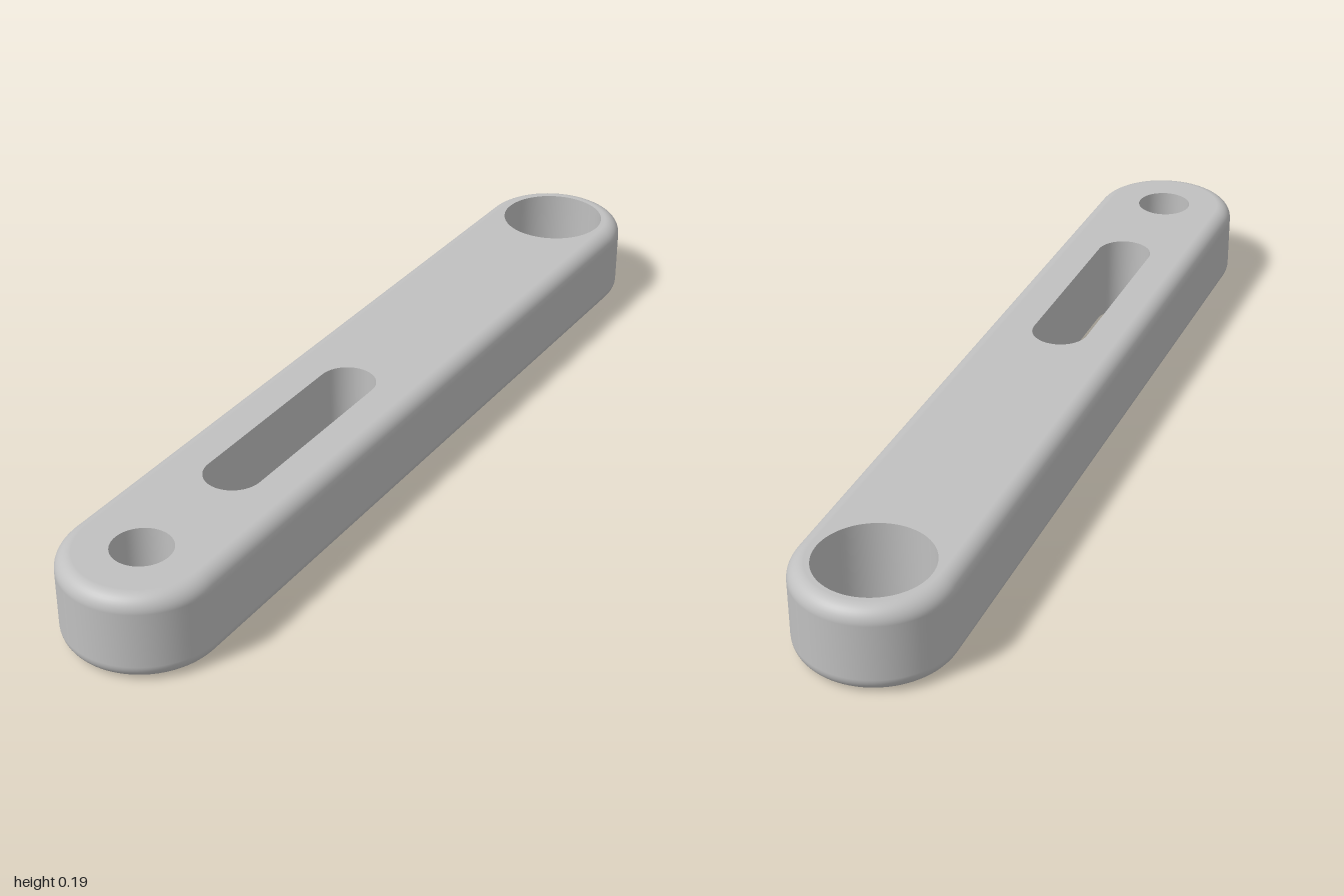
import * as THREE from 'three';

const HEIGHT = 0.19, RADIUS = 0.167, END = 0.833, FILLET = 0.034;
const ARC = 40; // segments per half circle

// Openings: radius and the z of the two arc centres
const openings = [
  { name: 'largeBore', r: 0.12, z0: -0.838, z1: -0.838 },
  { name: 'slot', r: 0.063, z0: 0.113, z1: 0.532 },
  { name: 'smallBore', r: 0.063, z0: 0.832, z1: 0.832 },
];

// Angles and arc centres around a rounded-end outline
function outline(z0, z1) {
  const list = [];
  for (const [z, start] of [[z1, 0], [z0, Math.PI]]) {
    for (let i = 0; i <= ARC; i++) list.push({ a: start + (Math.PI * i) / ARC, z });
  }
  return list;
}

// Wall swept around the outline; rows hold radius, height and profile normal
function wall(rows, z0, z1) {
  const ring = outline(z0, z1), n = ring.length;
  const pos = [], nor = [], idx = [];
  rows.forEach(({ r, y, nr, ny }, j) => {
    ring.forEach(({ a, z }, i) => {
      const c = Math.cos(a), s = Math.sin(a);
      pos.push(r * c, y, z + r * s);
      nor.push(nr * c, ny, nr * s);
      if (j < rows.length - 1) {
        const p = j * n + i, q = j * n + ((i + 1) % n);
        idx.push(p, p + n, q, q, p + n, q + n);
      }
    });
  });
  const g = new THREE.BufferGeometry();
  g.setAttribute('position', new THREE.Float32BufferAttribute(pos, 3));
  g.setAttribute('normal', new THREE.Float32BufferAttribute(nor, 3));
  g.setIndex(idx);
  return g;
}

// Flat face with the openings cut out; side is 1 for top, -1 for bottom
function face(side) {
  const points = (r, z0, z1) => outline(z0, z1).map(
    ({ a, z }) => new THREE.Vector2(r * Math.cos(a), -side * (z + r * Math.sin(a))));
  const shape = new THREE.Shape(points(RADIUS - FILLET, -END, END));
  for (const o of openings) shape.holes.push(new THREE.Path(points(o.r, o.z0, o.z1)));
  return new THREE.ShapeGeometry(shape)
    .rotateX(-side * Math.PI / 2)
    .translate(0, side > 0 ? HEIGHT : 0, 0);
}

export function createModel() {
  const model = new THREE.Group();
  model.name = 'linkBar';
  const grey = new THREE.MeshStandardMaterial({ color: 0xc0c0c0 });
  grey.name = 'grey';
  const add = (name, geometry) => {
    const mesh = new THREE.Mesh(geometry, grey);
    mesh.name = name;
    model.add(mesh);
  };

  // Outer side with rounded lower and upper edges
  const rows = [];
  for (const [cy, start] of [[FILLET, -Math.PI / 2], [HEIGHT - FILLET, 0]]) {
    for (let i = 0; i <= 10; i++) {
      const t = start + (Math.PI / 2) * (i / 10);
      const nr = Math.cos(t), ny = Math.sin(t);
      rows.push({ r: RADIUS - FILLET + FILLET * nr, y: cy + FILLET * ny, nr, ny });
    }
  }
  add('outerSide', wall(rows, -END, END));

  // Top and bottom faces
  add('topFace', face(1));
  add('bottomFace', face(-1));

  // Inner walls, swept downward so they face inward
  for (const o of openings) {
    const sides = [HEIGHT, 0].map((y) => ({ r: o.r, y, nr: -1, ny: 0 }));
    add(o.name, wall(sides, o.z0, o.z1));
  }
  return model;
}
